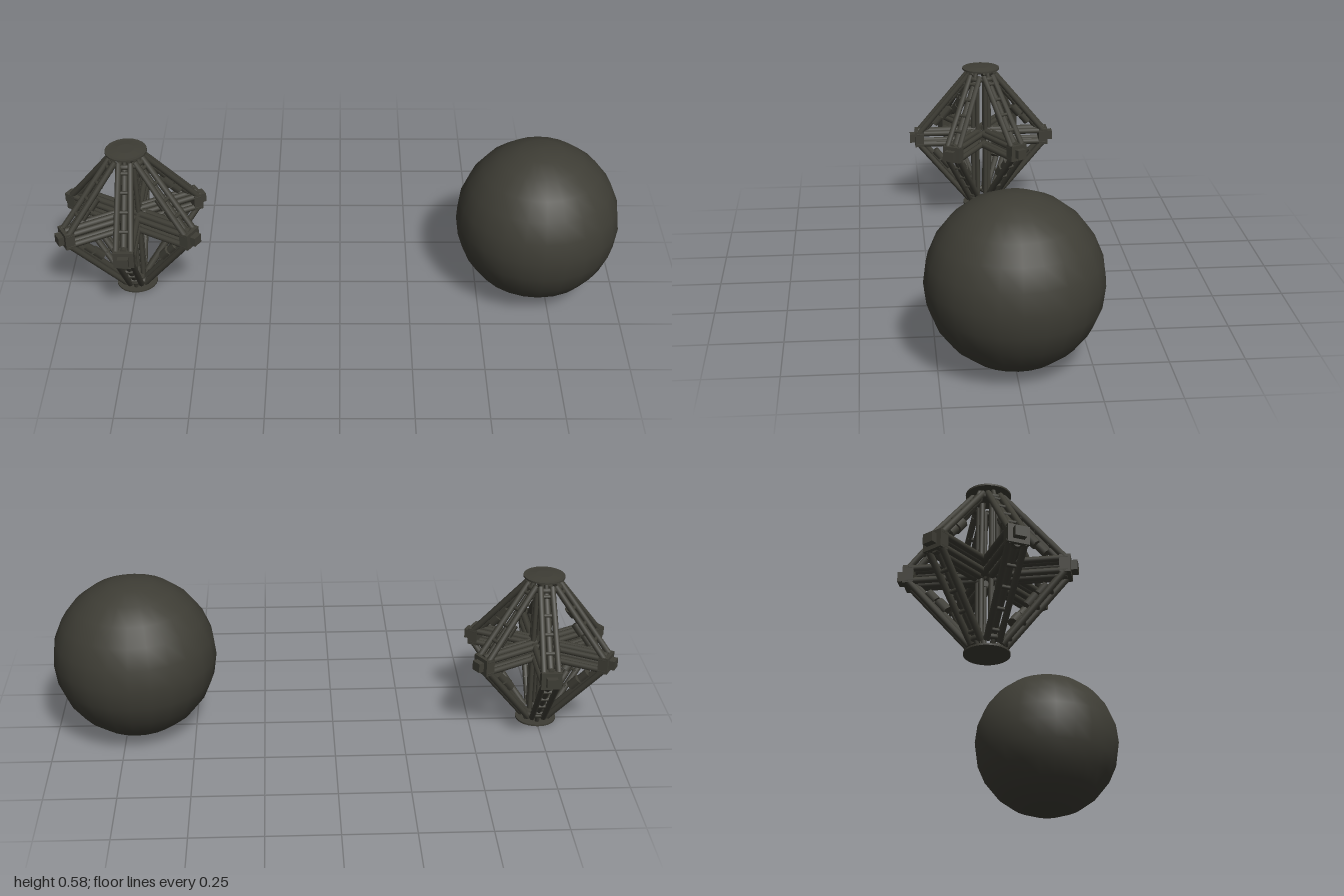
import * as THREE from 'three';

export function createModel() {
  const model = new THREE.Group();
  const darkOlive = new THREE.MeshStandardMaterial({ color: 0x3e3d35 });
  darkOlive.name = 'darkOliveMetal';
  const MID = 0.292;

  const add = (parent, name, geometry, x = 0, y = 0, z = 0) => {
    const mesh = new THREE.Mesh(geometry, darkOlive);
    mesh.name = name;
    mesh.position.set(x, y, z);
    parent.add(mesh);
    return mesh;
  };

  // Round rod between two points
  const rod = (parent, name, a, b, radius) => {
    const start = new THREE.Vector3(...a), end = new THREE.Vector3(...b);
    const dir = end.clone().sub(start);
    const mesh = add(parent, name, new THREE.CylinderGeometry(radius, radius, dir.length(), 8));
    mesh.position.copy(start).add(end).multiplyScalar(0.5);
    mesh.quaternion.setFromUnitVectors(new THREE.Vector3(0, 1, 0), dir.normalize());
    return mesh;
  };

  // Plain ball
  add(model, 'ball', new THREE.SphereGeometry(0.291, 24, 12), 0.709, MID, 0);

  // Six-armed truss frame
  const frame = new THREE.Group();
  frame.name = 'trussFrame';
  frame.position.set(-0.75, MID, 0);
  model.add(frame);

  for (let i = 0; i < 6; i++) {
    const arm = new THREE.Group();
    arm.name = 'trussArm';
    arm.rotation.y = Math.PI / 6 + (i * Math.PI) / 3;
    frame.add(arm);

    for (const s of [1, -1]) {
      // Outer chords and the horizontal beams, in pairs
      for (const z of [-0.026, 0.026]) {
        rod(arm, 'outerChord', [0.052, s * 0.262, z * 0.8], [0.25, s * 0.024, z], 0.011);
        rod(arm, 'horizontalChord', [0.03, s * 0.022, z], [0.26, s * 0.022, z], 0.011);
      }
      rod(arm, 'innerChord', [0.045, s * 0.25, 0], [0.232, s * 0.026, 0], 0.012);
      rod(arm, 'middleChord', [0.02, s * 0.026, 0], [0.255, s * 0.026, 0], 0.012);

      // Cross ties and clamps along the slanted chords
      for (const t of [0.12, 0.34, 0.56, 0.78]) {
        const x = 0.052 + 0.198 * t, y = s * (0.262 - 0.238 * t);
        rod(arm, 'crossTie', [x - 0.004, y, -0.03], [x - 0.004, y, 0.03], 0.007);
      }
      const clamp = add(arm, 'chordClamp', new THREE.CylinderGeometry(0.018, 0.018, 0.045, 8), 0.142, s * 0.108, 0);
      clamp.rotation.z = s * 0.694;
      const lower = add(arm, 'chordClamp', new THREE.CylinderGeometry(0.016, 0.016, 0.04, 8), 0.176, s * 0.072, 0);
      lower.rotation.z = s * 0.694;

      // Inner upright brace
      rod(arm, 'innerBrace', [0.03, s * 0.24, 0], [0.032, s * 0.02, 0], 0.009);

      // Slanted strut to the end disc
      rod(arm, 'capStrut', [0.056, s * 0.25, 0], [0.042, s * 0.283, 0], 0.008);
    }

    // Arm tip
    add(arm, 'tipBlock', new THREE.BoxGeometry(0.035, 0.062, 0.072), 0.25, 0, 0);
    add(arm, 'tipPlate', new THREE.BoxGeometry(0.024, 0.034, 0.038), 0.276, 0, 0);
  }

  // End caps and collars at both poles
  for (const s of [1, -1]) {
    add(frame, 'endDisc', new THREE.CylinderGeometry(0.074, 0.074, 0.006, 24), 0, s * 0.284, 0);
    add(frame, 'discCrown', new THREE.CylinderGeometry(s > 0 ? 0.03 : 0.07, s > 0 ? 0.07 : 0.03, 0.005, 24), 0, s * 0.2885, 0);
    const collar = add(frame, 'collar', new THREE.TorusGeometry(0.058, 0.01, 8, 24), 0, s * 0.25, 0);
    collar.rotation.x = Math.PI / 2;
  }
  return model;
}
